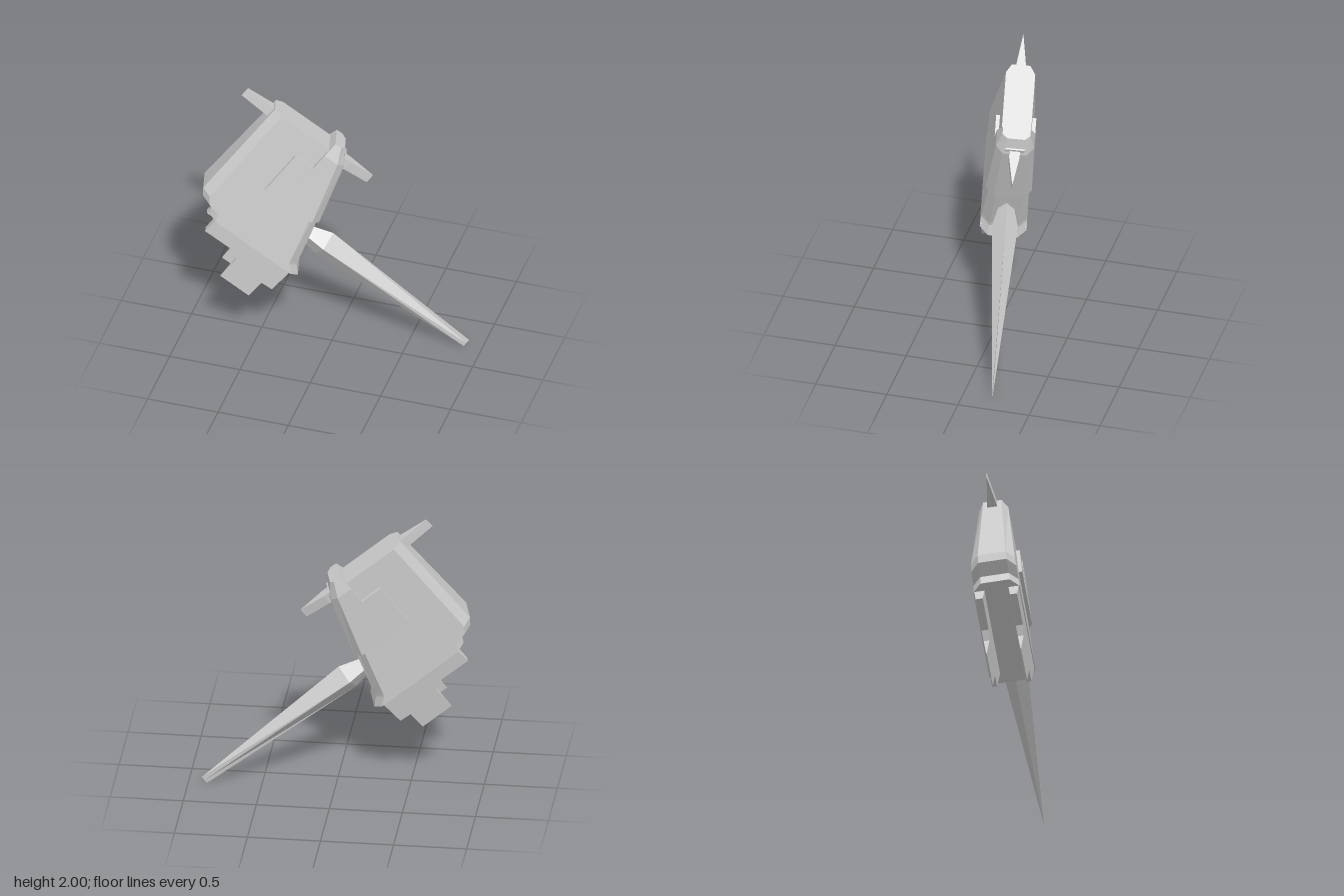
import * as THREE from 'three';

const material = new THREE.MeshStandardMaterial({ color: 0xcccccc, flatShading: true, side: THREE.DoubleSide });

// Skin a list of equal-length rings (counter-clockwise about the loft direction) and cap the ends.
function loft(rings) {
  const pos = [];
  const tri = (...pts) => pts.forEach((p) => pos.push(...p));
  const n = rings[0].length;
  for (let r = 0; r < rings.length - 1; r++) {
    const a = rings[r], b = rings[r + 1];
    for (let i = 0; i < n; i++) {
      const j = (i + 1) % n;
      tri(a[i], a[j], b[j]);
      tri(a[i], b[j], b[i]);
    }
  }
  const first = rings[0], last = rings[rings.length - 1];
  for (let i = 1; i < n - 1; i++) {
    tri(first[0], first[i + 1], first[i]);
    tri(last[0], last[i], last[i + 1]);
  }
  const geometry = new THREE.BufferGeometry();
  geometry.setAttribute('position', new THREE.Float32BufferAttribute(pos, 3));
  geometry.computeVertexNormals();
  return geometry;
}

// Horizontal ring: face from left to right, half thickness, bevel width on each side.
function slabRing(y, left, right, half, bevelL, bevelR) {
  const f = half * 0.63;
  return [
    [right + bevelR, y, f], [right + bevelR, y, -f], [right, y, -half], [left, y, -half],
    [left - bevelL, y, bevelL ? -f : -half], [left - bevelL, y, bevelL ? f : half],
    [left, y, half], [right, y, half],
  ];
}

const rectRing = (x, y0, y1, h) => [[x, y1, -h], [x, y1, h], [x, y0, h], [x, y0, -h]];
const diamondRing = (x, y, hy, hz) => [[x, y + hy, 0], [x, y, hz], [x, y - hy, 0], [x, y, -hz]];

export function createModel() {
  const group = new THREE.Group();
  const tilted = new THREE.Group();
  tilted.name = 'tiltedFigure';
  const add = (name, geometry) => {
    const mesh = new THREE.Mesh(geometry, material);
    mesh.name = name;
    tilted.add(mesh);
    return mesh;
  };

  // Bevelled body, thinner towards the top
  const bodyHalf = (y) => 0.16 - 0.06 * (y - 0.335) / 0.914;
  const bodyRows = [
    [0.335, -1.254, -0.605], [0.39, -1.276, -0.66], [0.415, -1.372, -0.67],
    [0.463, -1.406, -0.683], [1.249, -1.406, -0.912],
  ];
  add('body', loft(bodyRows.map(([y, l, r]) => slabRing(y, l, r, bodyHalf(y), 0.06, 0.06))));

  // Raised shell wrapping the right edge and top corner
  add('shell', loft([
    slabRing(0.75, -1.0, -0.746, 0.157, 0, 0.055),
    slabRing(1.21, -1.0, -0.889, 0.13, 0, 0.055),
    slabRing(1.312, -0.99, -0.94, 0.095, 0, 0.03),
  ]));

  // Square side flaps of the shell, on both faces
  add('shellFlaps', loft([
    slabRing(0.75, -1.153, -0.9, 0.157, 0, 0),
    slabRing(1.08, -1.153, -0.9, 0.137, 0, 0),
  ]));

  // Flat rods that taper to an edge on either side
  add('leftRod', loft([rectRing(-0.95, 1.162, 1.234, 0.04), rectRing(-0.8, 1.162, 1.234, 0.035), rectRing(-0.608, 1.162, 1.234, 0.001)]));
  add('rightRod', loft([rectRing(-1.69, 1.162, 1.234, 0.001), rectRing(-1.44, 1.162, 1.234, 0.038), rectRing(-1.3, 1.162, 1.234, 0.04)]));

  // Long diamond-section spike
  add('spike', loft([
    diamondRing(-0.72, 0.585, 0.05, 0.04),
    diamondRing(-0.53, 0.594, 0.103, 0.088),
    diamondRing(0.707, 0.589, 0.031, 0.002),
  ]));

  // Pair of stepped feet, wedge-thin at the bottom
  const footShape = new THREE.Shape([
    [-1.257, 0.36], [-1.257, 0.222], [-1.015, 0.224], [-0.955, 0.18], [-0.95, -0.003],
    [-0.704, -0.003], [-0.704, 0.14], [-0.62, 0.145], [-0.616, 0.36],
  ].map(([x, y]) => new THREE.Vector2(x, y)));
  const footGeometry = new THREE.ExtrudeGeometry(footShape, { depth: 1, bevelEnabled: false });
  const p = footGeometry.attributes.position;
  for (let i = 0; i < p.count; i++) {
    p.setZ(i, (p.getZ(i) - 0.5) * 2 * (0.002 + 0.1 * Math.max(0, p.getY(i))));
  }
  footGeometry.computeVertexNormals();
  for (const [name, side] of [['frontFoot', 1], ['backFoot', -1]]) {
    add(name, footGeometry).position.z = side * 0.118;
  }

  // Lean the whole figure
  const u = new THREE.Vector3(0.779, -0.612, -0.139).normalize();
  const n = new THREE.Vector3(0.249, 0.097, 0.963).cross(u).cross(u).negate().normalize();
  const v = new THREE.Vector3().crossVectors(n, u);
  tilted.quaternion.setFromRotationMatrix(new THREE.Matrix4().makeBasis(u, v, n));
  tilted.position.z = 0.02;
  group.add(tilted);
  return group;
}
